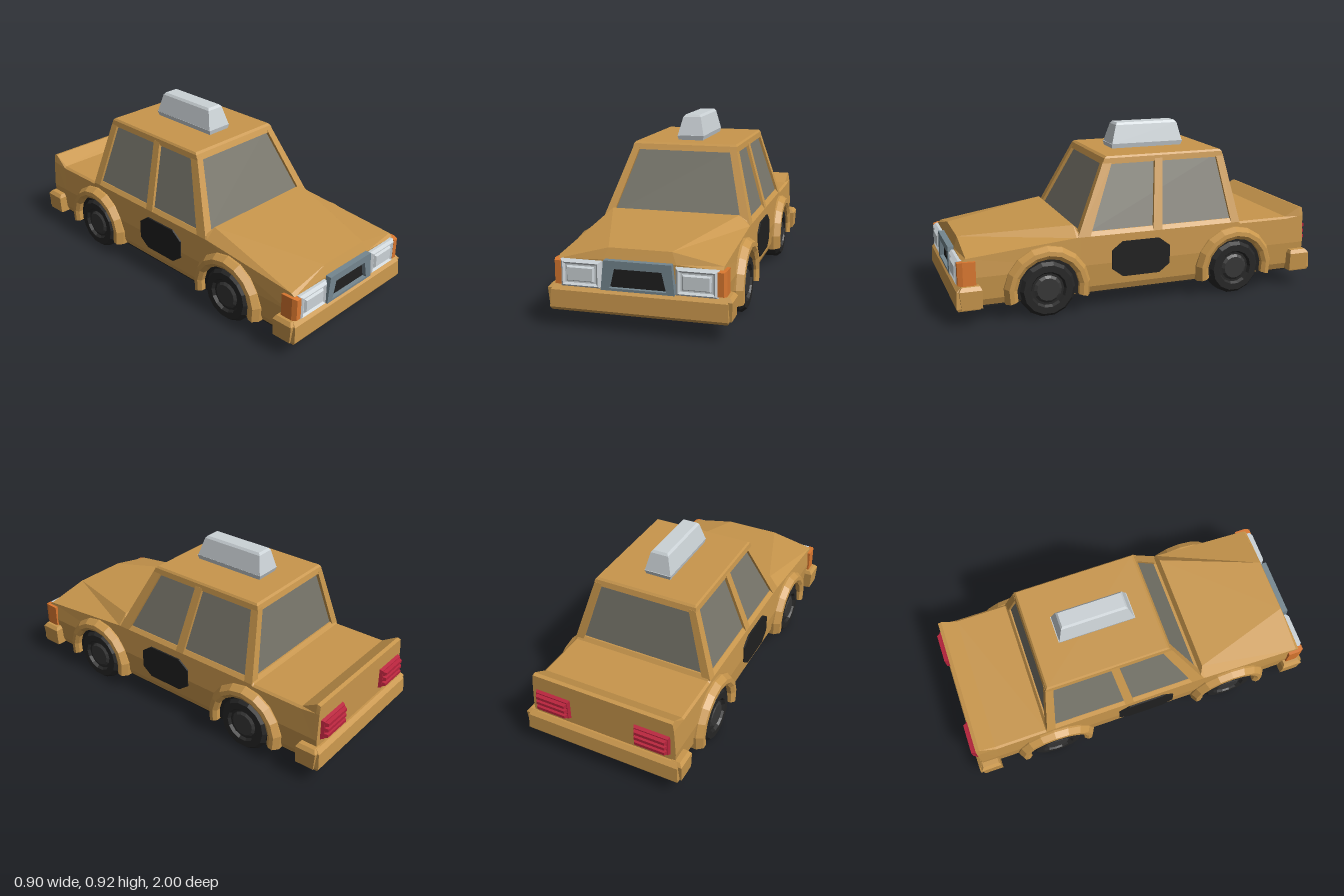
import * as THREE from 'three';

const mat = (name, color) => {
  const m = new THREE.MeshStandardMaterial({ color });
  m.name = name;
  return m;
};

// Faceted solid through matching loops of [x, y, z] points
function loft(sections) {
  const pos = [];
  const tri = (a, b, c) => pos.push(...a, ...b, ...c);
  const n = sections[0].length;
  for (let k = 0; k < sections.length - 1; k++) {
    const s = sections[k], t = sections[k + 1];
    for (let i = 0; i < n; i++) {
      const j = (i + 1) % n;
      tri(s[i], s[j], t[j]);
      tri(s[i], t[j], t[i]);
    }
  }
  const first = sections[0], last = sections[sections.length - 1];
  for (let i = 1; i < n - 1; i++) {
    tri(first[0], first[i + 1], first[i]);
    tri(last[0], last[i], last[i + 1]);
  }
  const g = new THREE.BufferGeometry();
  g.setAttribute('position', new THREE.Float32BufferAttribute(pos, 3));
  g.computeVertexNormals();
  return g;
}

const flat = (g) => {
  const f = g.index ? g.toNonIndexed() : g;
  f.computeVertexNormals();
  return f;
};

// Horizontal and upright rectangles used as loft sections
const rectY = (y, x0, x1, z0, z1) => [[x1, y, z1], [x1, y, z0], [x0, y, z0], [x0, y, z1]];
const rectZ = (z, x0, x1, y0, y1) => [[x0, y0, z], [x1, y0, z], [x1, y1, z], [x0, y1, z]];

export function createModel() {
  const car = new THREE.Group();
  car.name = 'car';
  const paint = mat('golden paint', 0xc8964c);
  const glass = mat('grey glass', 0x77756a);
  const black = mat('black trim', 0x202020);
  const rubber = mat('tyre rubber', 0x262626);
  const hubGrey = mat('hub grey', 0x363636);
  const silver = mat('pale silver', 0xcbd2d6);
  const steel = mat('steel blue', 0x74868f);
  const orange = mat('orange lens', 0xd9772f);
  const red = mat('red lens', 0xb8233c);

  const add = (name, geometry, material) => {
    const m = new THREE.Mesh(geometry, material);
    m.name = name;
    car.add(m);
    return m;
  };

  // Body: [z, shoulder height, top edge x, top edge y]
  const stations = [
    [-0.965, 0.40, 0.395, 0.445], [-0.945, 0.40, 0.395, 0.45],
    [-0.86, 0.39, 0.39, 0.40], [-0.57, 0.39, 0.39, 0.40],
    [-0.555, 0.40, 0.385, 0.422], [0.35, 0.40, 0.385, 0.422],
    [0.37, 0.40, 0.345, 0.455], [0.94, 0.35, 0.155, 0.40], [0.96, 0.335, 0.18, 0.345],
  ];
  add('body', loft(stations.map(([z, ys, xt, yt]) => {
    const half = [[0.385, 0.095], [0.4, 0.13], [0.41, 0.25], [0.402, ys], [xt, yt]];
    const right = half.map(([x, y]) => [x, y, z]);
    const left = half.map(([x, y]) => [-x, y, z]).reverse();
    return [...right, ...left];
  })), paint);

  // Underside
  add('floorPan', loft([rectY(0.085, -0.38, 0.38, -0.93, 0.93), rectY(0.1, -0.38, 0.38, -0.93, 0.93)]), black);
  add('chassis', loft([rectY(0.06, -0.22, 0.22, -0.72, 0.72), rectY(0.09, -0.23, 0.23, -0.74, 0.74)]), black);

  // Cabin: glass core, roof and pillars
  add('windows', loft([rectY(0.4, -0.388, 0.388, -0.55, 0.345), rectY(0.77, -0.272, 0.272, -0.488, 0.163)]), glass);
  add('roof', loft([
    rectY(0.75, -0.293, 0.293, -0.51, 0.192),
    rectY(0.78, -0.288, 0.288, -0.502, 0.178),
    rectY(0.79, -0.28, 0.28, -0.492, 0.165),
  ]), paint);
  const pillars = [
    ['frontPillar', 0.355, 0.402, 0.295, 0.362, 0.25, 0.289, 0.135, 0.186],
    ['middlePillar', 0.36, 0.403, -0.105, -0.055, 0.25, 0.291, -0.15, -0.105],
    ['rearPillar', 0.355, 0.402, -0.565, -0.515, 0.25, 0.289, -0.508, -0.465],
  ];
  for (const s of [1, -1]) {
    const span = (a, b) => (s > 0 ? [a, b] : [-b, -a]);
    const side = s > 0 ? 'left' : 'right';

    for (const [name, a, b, z0, z1, c, d, z2, z3] of pillars) {
      add(`${side} ${name}`, loft([
        rectY(0.4, ...span(a, b), z0, z1), rectY(0.765, ...span(c, d), z2, z3),
      ]), paint);
    }

    // Wheels with their arches
    for (const zc of [0.53, -0.53]) {
      const tyre = new THREE.LatheGeometry([
        [0, -0.06], [0.13, -0.06], [0.15, -0.035], [0.15, 0.035], [0.13, 0.06],
        [0.095, 0.06], [0.085, 0.045], [0, 0.045],
      ].map(([r, y]) => new THREE.Vector2(r, y)), 14);
      const hub = new THREE.CylinderGeometry(0.06, 0.075, 0.012, 14);
      for (const [name, g, m, x] of [['tyre', tyre, rubber, 0.372], ['hub', hub, hubGrey, 0.422]]) {
        const w = add(`${side} ${name}`, flat(g), m);
        w.rotation.z = -s * Math.PI / 2;
        w.position.set(s * x, 0.15, zc);
      }
      const liner = add(`${side} archLiner`, new THREE.CircleGeometry(0.175, 18, -0.28, Math.PI + 0.56), black);
      liner.rotation.y = s * Math.PI / 2;
      liner.position.set(s * 0.412, 0.15, zc);

      const profile = [[0.228, 0.415], [0.208, 0.448], [0.185, 0.45], [0.165, 0.437], [0.165, 0.38], [0.228, 0.38]];
      const rings = [];
      for (let i = 0; i <= 10; i++) {
        const t = -0.25 + (Math.PI + 0.5) * i / 10;
        const ring = profile.map(([r, x]) => [s * x, 0.15 + r * Math.sin(t), zc + r * Math.cos(t)]);
        rings.push(s > 0 ? ring : ring.reverse());
      }
      add(`${side} wheelArch`, loft(rings), paint);
    }

    // Dark eight-sided door panel
    const panel = new THREE.Shape([
      [-0.12, 0.17], [0.085, 0.17], [0.145, 0.215], [0.145, 0.315],
      [0.085, 0.36], [-0.12, 0.36], [-0.18, 0.315], [-0.18, 0.215],
    ].map(([u, v]) => new THREE.Vector2(s * u, v)));
    const door = add(`${side} doorPanel`, flat(new THREE.ExtrudeGeometry(panel, { depth: 0.009, bevelEnabled: false })), black);
    door.rotation.y = s * Math.PI / 2;
    door.position.x = s * 0.406;

    // Headlight with raised lens, and corner marker
    add(`${side} headlight`, loft([
      rectZ(0.94, ...span(0.18, 0.385), 0.205, 0.338),
      rectZ(0.975, ...span(0.18, 0.385), 0.205, 0.338),
      rectZ(0.99, ...span(0.195, 0.37), 0.218, 0.328),
      rectZ(0.98, ...span(0.205, 0.36), 0.228, 0.318),
    ]), silver);
    add(`${side} headlightLens`, loft([
      rectZ(0.975, ...span(0.21, 0.355), 0.232, 0.314),
      rectZ(0.992, ...span(0.22, 0.345), 0.242, 0.304),
    ]), silver);
    add(`${side} cornerMarker`, loft([
      rectZ(0.895, ...span(0.38, 0.42), 0.215, 0.335),
      rectZ(0.96, ...span(0.38, 0.42), 0.212, 0.337),
      rectZ(0.985, ...span(0.38, 0.41), 0.218, 0.332),
    ]), orange);

    // Ribbed tail light
    add(`${side} tailLight`, loft([
      rectZ(-0.982, ...span(0.19, 0.375), 0.25, 0.352),
      rectZ(-0.955, ...span(0.18, 0.385), 0.24, 0.362),
    ]), red);
    for (const y of [0.268, 0.301, 0.334]) {
      add(`${side} tailLightRib`, loft([
        rectZ(-1, ...span(0.2, 0.365), y - 0.008, y + 0.008),
        rectZ(-0.975, ...span(0.19, 0.375), y - 0.014, y + 0.014),
      ]), red);
    }
  }

  // Bumpers with wider ends
  for (const e of [1, -1]) {
    const name = e > 0 ? 'frontBumper' : 'rearBumper';
    const zs = (a, b) => (e > 0 ? [a, b] : [-b, -a]);
    add(name, loft([
      rectY(0.09, -0.43, 0.43, ...zs(0.88, 0.99)),
      rectY(0.105, -0.435, 0.435, ...zs(0.88, 1)),
      rectY(0.19, -0.43, 0.43, ...zs(0.88, 0.995)),
      rectY(0.21, -0.42, 0.42, ...zs(0.89, 0.975)),
    ]), paint);
    for (const s of [1, -1]) {
      const xs = (a, b) => (s > 0 ? [a, b] : [-b, -a]);
      add(`${name}End`, loft([
        rectY(0.1, ...xs(0.39, 0.445), ...zs(0.87, 0.975)),
        rectY(0.195, ...xs(0.39, 0.45), ...zs(0.87, 0.985)),
        rectY(0.214, ...xs(0.39, 0.435), ...zs(0.88, 0.97)),
      ]), paint);
    }
  }

  // Grille
  const trapezoid = (Type, y0, x0, y1, x1) => new Type(
    [[-x0, y0], [x0, y0], [x1, y1], [-x1, y1]].map(([x, y]) => new THREE.Vector2(x, y)));
  const surround = trapezoid(THREE.Shape, 0.206, 0.18, 0.35, 0.165);
  surround.holes.push(trapezoid(THREE.Path, 0.218, 0.14, 0.312, 0.118));
  add('grilleSurround', flat(new THREE.ExtrudeGeometry(surround, { depth: 0.045, bevelEnabled: false })), steel)
    .position.z = 0.945;
  add('grille', loft([rectZ(0.955, -0.15, 0.15, 0.21, 0.33), rectZ(0.968, -0.15, 0.15, 0.21, 0.33)]), black);

  // Roof sign
  add('roofSignBase', loft([
    rectY(0.785, -0.068, 0.068, -0.35, 0.055), rectY(0.815, -0.075, 0.075, -0.362, 0.062),
  ]), silver);
  add('roofSign', loft([
    rectY(0.815, -0.074, 0.074, -0.358, 0.058),
    rectY(0.915, -0.05, 0.05, -0.335, 0.028),
    rectY(0.927, -0.04, 0.04, -0.325, 0.018),
  ]), silver);

  return car;
}
